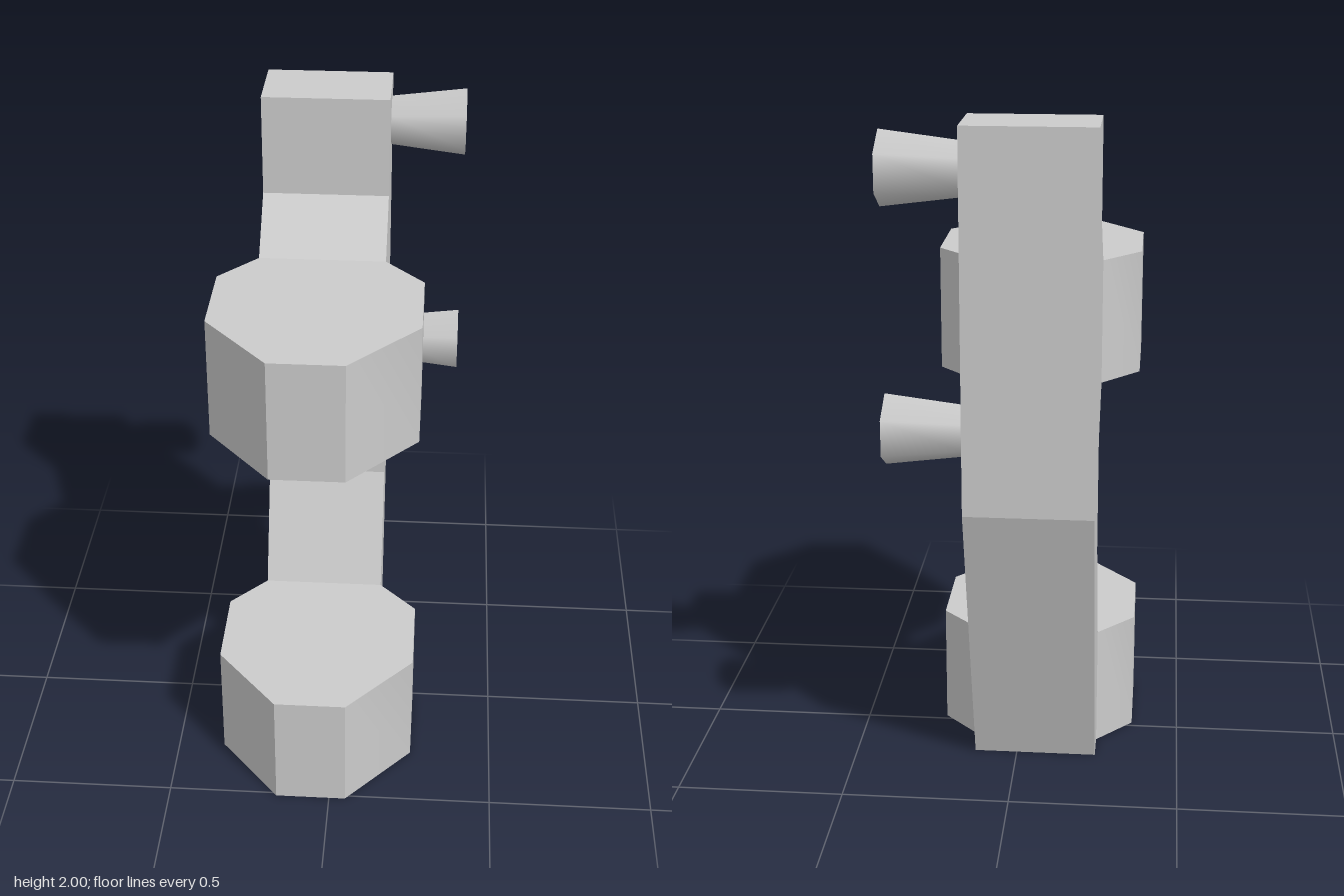
import * as THREE from 'three';
import { toCreasedNormals } from 'three/addons/utils/BufferGeometryUtils.js';

const material = new THREE.MeshStandardMaterial({ color: 0xcccccc });

function part(name, geometry) {
  const mesh = new THREE.Mesh(geometry, material);
  mesh.name = name;
  return mesh;
}

function extrude(points, depth) {
  const shape = new THREE.Shape(points.map(([a, b]) => new THREE.Vector2(a, b)));
  return new THREE.ExtrudeGeometry(shape, { depth, bevelEnabled: false });
}

// Bent upright: side profile (z, y) extruded across x
function createUpright() {
  const profile = [
    [-0.26, 2], [-0.485, 2], [-0.485, 0.9], [-0.2, 0], [-0.1, 0], [-0.1, 0.375],
    [-0.255, 0.72], [-0.255, 1.055], [-0.107, 1.19], [-0.107, 1.56], [-0.26, 1.7],
  ];
  const geometry = extrude(profile.map(([z, y]) => [-z, y]), 0.375);
  geometry.rotateY(Math.PI / 2).translate(-0.245, 0, 0);
  return part('upright', geometry);
}

// Eight-sided block: plan outline (x, z) extruded upwards, soft side corners, sharp front edges
function createBlock(name, y, height, back) {
  const plan = [
    [-0.245, back], [0.13, back], [0.247, 0.02], [0.247, 0.29],
    [0.05, 0.512], [-0.165, 0.512], [-0.355, 0.29], [-0.355, 0.02],
  ];
  const geometry = extrude(plan.map(([x, z]) => [x, -z]), height);
  geometry.rotateX(-Math.PI / 2).translate(0, y, 0);
  return part(name, toCreasedNormals(geometry, THREE.MathUtils.degToRad(45)));
}

// Flared six-sided knob pointing towards +x
function createKnob(name, y) {
  const geometry = new THREE.CylinderGeometry(0.105, 0.077, 0.222, 6, 1, false, Math.PI / 6);
  geometry.rotateZ(-Math.PI / 2).translate(0.241, y, -0.421);
  return part(name, geometry);
}

export function createModel() {
  const model = new THREE.Group();
  model.name = 'bracket';
  model.add(
    createUpright(),
    createBlock('upperBlock', 1.19, 0.37, -0.107),
    createBlock('lowerBlock', 0, 0.375, -0.1),
    createKnob('upperKnob', 1.875),
    createKnob('lowerKnob', 1.135),
  );
  return model;
}
